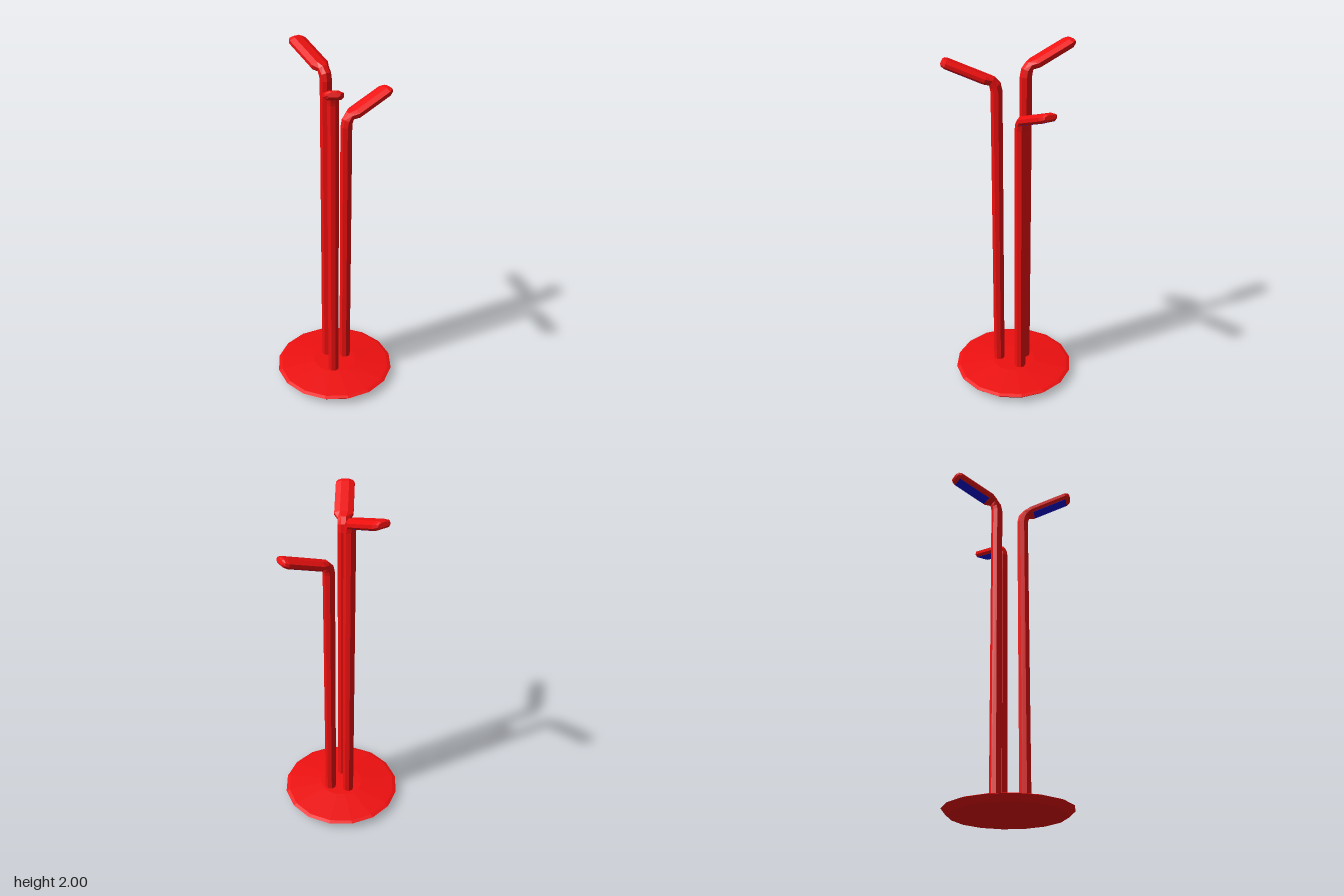
import * as THREE from 'three';

const red = new THREE.MeshStandardMaterial({ color: 0xf01010, flatShading: true });
const blue = new THREE.MeshStandardMaterial({ color: 0x1010e0, flatShading: true });
const TILT = 0.365; // upward slope of the lamp heads

// Eight-sided section: w and t are half width and half thickness, flat is the share of the underside that is flat
function section({ s, y, angle, w, t, flat = 0.414 }) {
  const outline = [[1, 0.414], [0.414, 1], [-0.414, 1], [-1, 0.414], [-1, -0.414], [-flat, -1], [flat, -1], [1, -0.414]];
  return outline.map(([a, b]) => [s - Math.sin(angle) * b * t, y + Math.cos(angle) * b * t, a * w]);
}

// Skin over successive sections, closed at both ends
function loft(sections) {
  const n = 8, positions = [], index = [];
  sections.forEach((c) => section(c).forEach((p) => positions.push(...p)));
  for (let i = 0; i < sections.length - 1; i++) {
    for (let k = 0; k < n; k++) {
      const a = i * n + k, b = i * n + (k + 1) % n;
      index.push(a, a + n, b, b, a + n, b + n);
    }
  }
  const end = (sections.length - 1) * n;
  for (let k = 1; k < n - 1; k++) {
    index.push(0, k, k + 1, end, end + k + 1, end + k);
  }
  const g = new THREE.BufferGeometry();
  g.setAttribute('position', new THREE.Float32BufferAttribute(positions, 3));
  g.setIndex(index);
  const flat = g.toNonIndexed();
  flat.computeVertexNormals();
  return flat;
}

// One lamp leaning outward along local +x; drop shortens its pole
function makeLamp(name, drop) {
  const lamp = new THREE.Group();
  lamp.name = name;
  const headY = (s) => 1.976 - drop + (s - 0.26) * Math.tan(TILT);
  const up = Math.PI / 2;

  const stem = new THREE.Mesh(loft([
    { s: 0, y: 0.05, angle: up, w: 0.03, t: 0.03 },
    { s: 0, y: 1.83 - drop, angle: up, w: 0.03, t: 0.03 },
    { s: 0.006, y: 1.86 - drop, angle: 1.1, w: 0.03, t: 0.03 },
    { s: 0.023, y: headY(0.023), angle: 0.6, w: 0.031, t: 0.025 },
    { s: 0.055, y: headY(0.055), angle: TILT, w: 0.05, t: 0.022, flat: 0.75 },
    { s: 0.257, y: headY(0.257), angle: TILT, w: 0.05, t: 0.022, flat: 0.75 },
    { s: 0.274, y: headY(0.274), angle: TILT, w: 0.041, t: 0.019, flat: 0.7 },
    { s: 0.282, y: headY(0.282), angle: TILT, w: 0.032, t: 0.011, flat: 0.6 },
  ]), red);
  stem.name = 'poleAndHead';
  lamp.add(stem);

  // Light panel on the underside of the head
  const panel = new THREE.Mesh(new THREE.BoxGeometry(0.205, 0.004, 0.072), blue);
  const mid = 0.158, depth = 0.021;
  panel.position.set(mid + Math.sin(TILT) * depth, headY(mid) - Math.cos(TILT) * depth, 0);
  panel.rotation.z = TILT;
  panel.name = 'lightPanel';
  lamp.add(panel);
  return lamp;
}

export function createModel() {
  const model = new THREE.Group();
  const stand = new THREE.Group();
  stand.name = 'lampStand';
  stand.position.set(0.008, 0, 0.01);
  model.add(stand);

  // Shallow sixteen-sided base
  const profile = [[0, 0.004], [0.31, 0.014], [0.345, 0.046], [0.325, 0.053], [0.125, 0.073], [0, 0.073]]
    .map(([r, y]) => new THREE.Vector2(r, y));
  const base = new THREE.Mesh(new THREE.LatheGeometry(profile, 16), red);
  base.name = 'base';
  stand.add(base);

  // Three lamps of different heights: name, drop, pole x and z, heading
  const lamps = [
    ['tallLamp', 0, -0.076, 0, Math.PI],
    ['shortLamp', 0.25, 0, -0.077, -Math.PI / 2],
    ['middleLamp', 0.073, 0.067, 0.057, 0.62],
  ];
  for (const [name, drop, x, z, heading] of lamps) {
    const lamp = makeLamp(name, drop);
    lamp.position.set(x, 0, z);
    lamp.rotation.y = -heading;
    stand.add(lamp);
  }
  return model;
}
